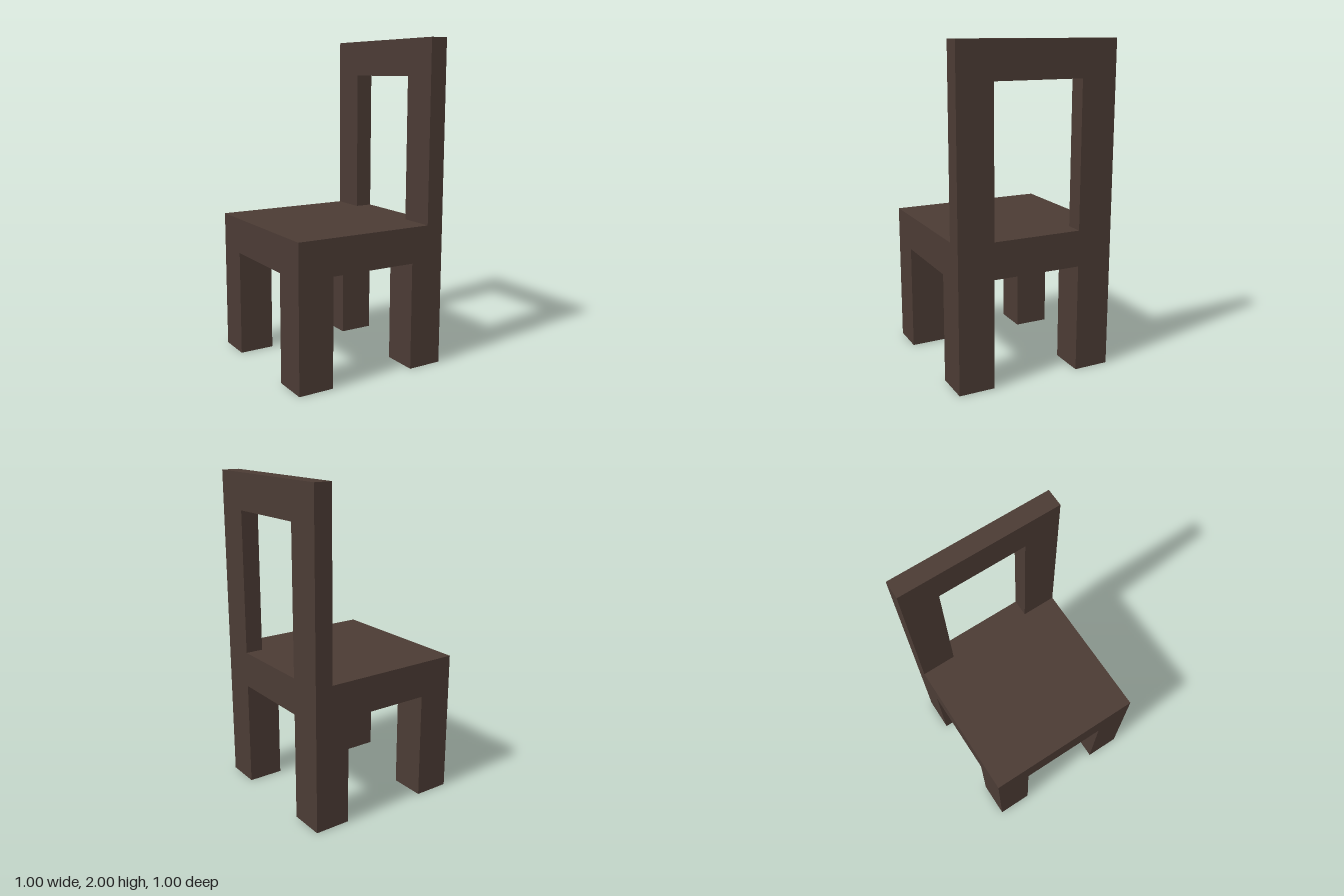
import * as THREE from 'three';

export function createModel() {
  const chair = new THREE.Group();
  chair.name = 'chair';
  const darkWood = new THREE.MeshStandardMaterial({ color: 0x4b3b34 });
  darkWood.name = 'darkWood';

  // All proportions follow a module of one ninth of a unit
  const u = 1 / 9;
  const legHeight = 6 * u, seatTop = 8 * u, half = 0.5;

  const add = (name, geometry, x, y, z) => {
    const mesh = new THREE.Mesh(geometry, darkWood);
    mesh.name = name;
    mesh.position.set(x, y, z);
    chair.add(mesh);
    return mesh;
  };

  // Thick square seat
  add('seat', new THREE.BoxGeometry(1, 2 * u, 1), 0, 7 * u, 0);

  // Four square legs flush with the seat corners
  const legGeometry = new THREE.BoxGeometry(2 * u, legHeight, 2 * u);
  for (const sx of [-1, 1]) {
    for (const sz of [-1, 1]) {
      add(sx > 0 ? 'backLeg' : 'frontLeg', legGeometry, sx * (half - u), legHeight / 2, sz * (half - u));
    }
  }

  // Backrest: two posts and a top rail as one arch, standing on the +x edge
  const backHeight = 2 - seatTop, inner = half - 2 * u, opening = backHeight - 2 * u;
  const arch = new THREE.Shape([
    [-half, 0], [-inner, 0], [-inner, opening], [inner, opening],
    [inner, 0], [half, 0], [half, backHeight], [-half, backHeight],
  ].map(([a, b]) => new THREE.Vector2(a, b)));
  const backGeometry = new THREE.ExtrudeGeometry(arch, { depth: u, bevelEnabled: false });
  backGeometry.rotateY(Math.PI / 2);
  add('backrest', backGeometry, half - u, seatTop, 0);

  return chair;
}
